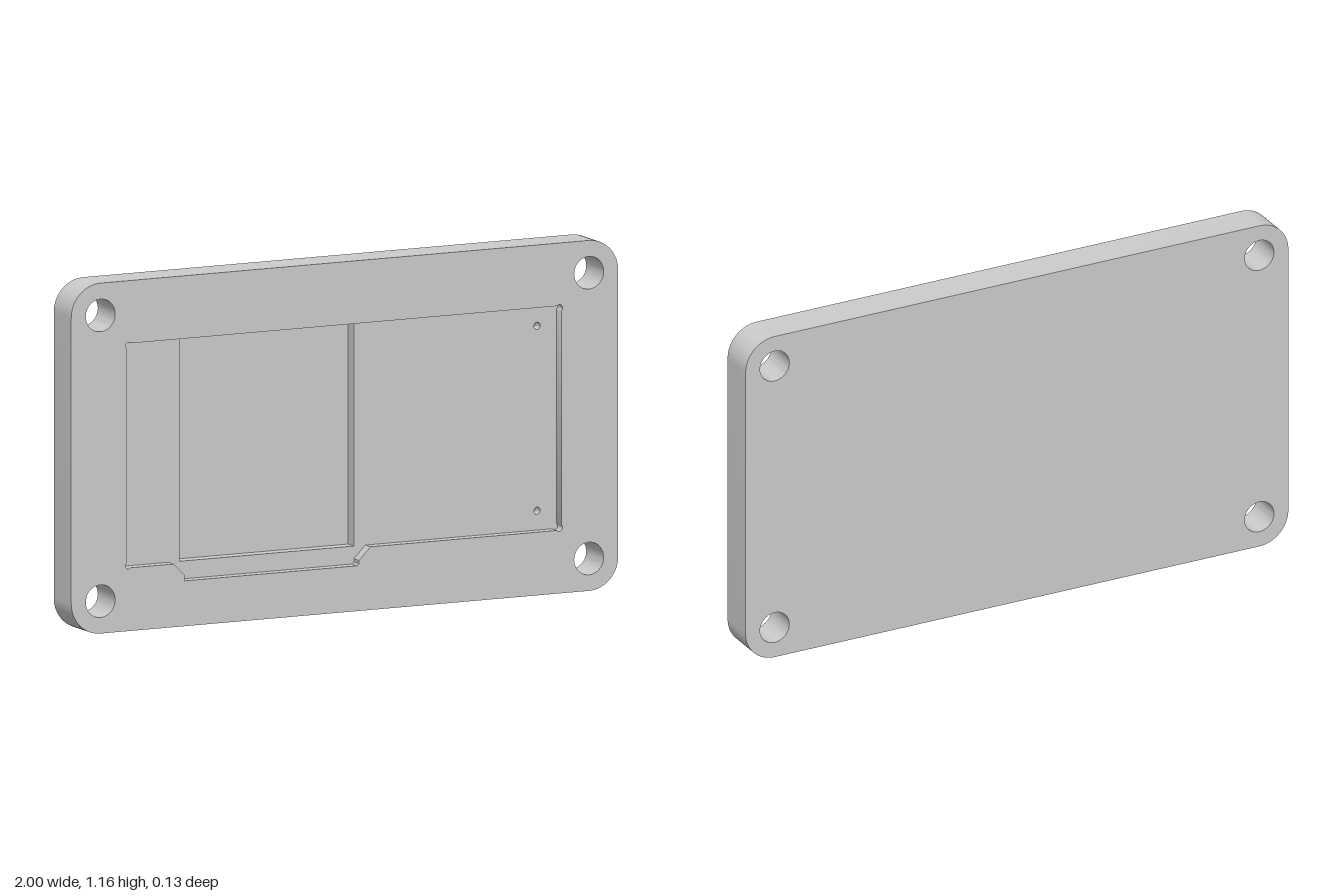
import * as THREE from 'three';
import { toCreasedNormals } from 'three/addons/utils/BufferGeometryUtils.js';

const H = 1.16, R = 0.107;                       // plate height and corner radius
const BACK = -0.063, FRONT = 0.063;              // plate faces
const SHELF = 0.026, DEEP = -0.017, PIN = -0.01; // pocket floors
const material = new THREE.MeshStandardMaterial({ color: 0xcccccc });

const arc = (cx, cy, r, from, to, n) => Array.from({ length: n + 1 }, (_, i) => {
  const a = from + (to - from) * i / n;
  return new THREE.Vector2(cx + r * Math.cos(a), cy + r * Math.sin(a));
});
const circle = (cx, cy, r, n) => arc(cx, cy, r, 0, Math.PI * 2, n).slice(0, n);
const points = (list) => list.map(([x, y]) => new THREE.Vector2(x, y));

export function createModel() {
  const group = new THREE.Group();
  const add = (name, geometry) => {
    const mesh = new THREE.Mesh(geometry, material);
    mesh.name = name;
    group.add(mesh);
    return mesh;
  };

  // Flat face at depth z, optionally turned to the back
  const face = (name, outline, z, holes = [], toBack = false) => {
    const shape = new THREE.Shape(outline);
    shape.holes = holes.map((h) => new THREE.Path(h));
    const g = new THREE.ShapeGeometry(shape);
    if (toBack) {
      const index = g.index.array;
      for (let i = 0; i < index.length; i += 3) [index[i], index[i + 1]] = [index[i + 1], index[i]];
      g.computeVertexNormals();
    }
    add(name, g.translate(0, 0, z));
  };

  // Wall along a counterclockwise outline; inward for holes and pockets
  const wall = (name, outline, z0, z1, inward = true) => {
    const pos = [];
    outline.forEach((p, i) => {
      const q = outline[(i + 1) % outline.length];
      const [a, b] = inward ? [q, p] : [p, q];
      pos.push(a.x, a.y, z0, b.x, b.y, z0, b.x, b.y, z1,
        a.x, a.y, z0, b.x, b.y, z1, a.x, a.y, z1);
    });
    const g = new THREE.BufferGeometry();
    g.setAttribute('position', new THREE.Float32BufferAttribute(pos, 3));
    add(name, toCreasedNormals(g, Math.PI / 6));
  };

  // Rounded plate outline
  const cx = 1 - R, q = Math.PI / 2;
  const plate = [
    ...arc(cx, R, R, -q, 0, 16), ...arc(cx, H - R, R, 0, q, 16),
    ...arc(-cx, H - R, R, q, 2 * q, 16), ...arc(-cx, R, R, 2 * q, 3 * q, 16),
  ];

  // Bolt holes, concentric with the corners
  const bolts = [];
  for (const x of [-cx, cx]) for (const y of [R, H - R]) bolts.push(circle(x, y, 0.054, 40));

  // Shallow pocket with corner reliefs and a stepped bay along the bottom
  const L = -0.798, Rt = 0.793, B = 0.209, T = 0.952;
  const dl = -0.585, dr = 0.052, inset = 0.008, r = 0.012;
  const spread = Math.acos(inset / r);
  const relief = (x, y, sx, sy, start) =>
    arc(x - sx * inset, y - sy * inset, r, start - spread, start + q + spread, 12);
  const bottomBay = points([[-0.625, B], [dl, 0.17], [dl, 0.15], [0.045, 0.15],
    [dr, 0.157], [dr, 0.167], [0.094, B]]);
  const sides = [
    ...bottomBay,
    ...relief(Rt, B, 1, -1, -q), ...relief(Rt, T, 1, 1, 0),
  ];
  const leftSide = [...relief(L, T, -1, 1, q), ...relief(L, B, -1, -1, 2 * q)];
  const pocket = [...sides, ...leftSide];

  // Deep pocket opens out of the shelf along its top edge
  const shelf = [...sides, ...points([[dr, T], [dr, B], [dl, B], [dl, T]]), ...leftSide];
  const deep = points([[dl, B], [dr, B], [dr, T], [dl, T]]);
  const pins = [0.273, 0.885].map((y) => circle(0.722, y, 0.012, 20));

  wall('plateEdge', plate, BACK, FRONT, false);
  face('plateBack', plate, BACK, bolts, true);
  face('plateFront', plate, FRONT, [...bolts, pocket]);
  bolts.forEach((b) => wall('boltHole', b, BACK, FRONT));
  wall('pocketWall', pocket, SHELF, FRONT);
  face('pocketFloor', shelf, SHELF, pins);
  wall('deepPocketWall', deep, DEEP, SHELF);
  face('deepPocketFloor', deep, DEEP);
  pins.forEach((p) => {
    wall('pinHoleWall', p, PIN, SHELF);
    face('pinHoleFloor', p, PIN);
  });
  return group;
}
